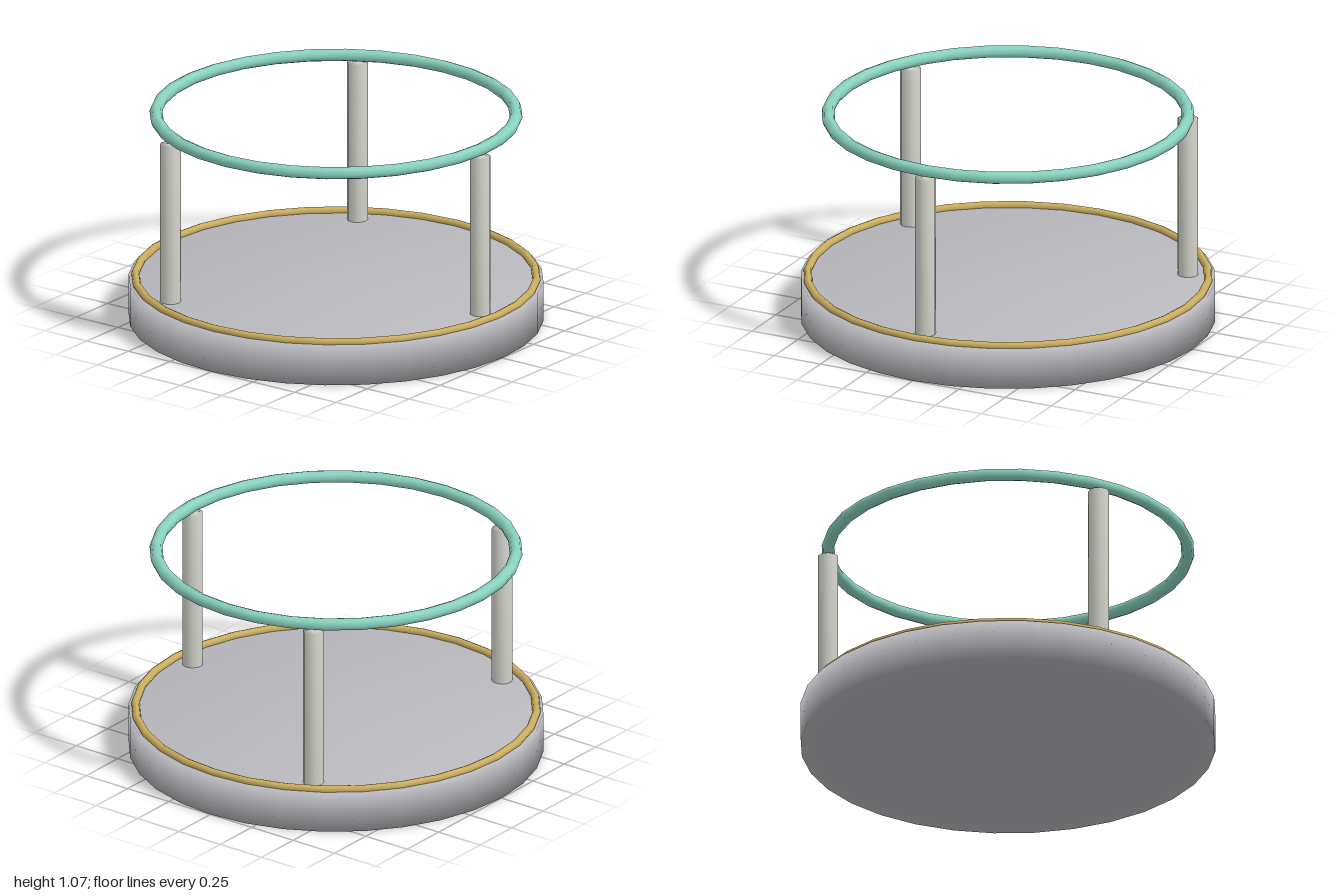
import * as THREE from 'three';

const material = (name, color) => {
  const m = new THREE.MeshStandardMaterial({ color });
  m.name = name;
  return m;
};

// Closed, softly shaded cylinder standing on y = 0
function softCylinder(radius, height, sides) {
  const profile = [[0, 0], [radius, 0], [radius, height], [0, height]];
  return new THREE.LatheGeometry(profile.map(([x, y]) => new THREE.Vector2(x, y)), sides);
}

// Horizontal ring
function ring(radius, tube) {
  return new THREE.TorusGeometry(radius, tube, 8, 32).rotateX(Math.PI / 2);
}

export function createModel() {
  const model = new THREE.Group();
  model.name = 'railedPlatform';

  const grey = material('platformGrey', 0xb9b8bd);
  const gold = material('trimGold', 0xcbae5e);
  const pale = material('postPale', 0xd6d6ce);
  const teal = material('railTeal', 0x8ad3c0);

  const add = (name, geometry, mat, y) => {
    const mesh = new THREE.Mesh(geometry, mat);
    mesh.name = name;
    mesh.position.y = y;
    model.add(mesh);
    return mesh;
  };

  // Round base with its trim ring
  add('base', softCylinder(1, 0.2, 32), grey, 0);
  add('trimRing', ring(0.967, 0.02), gold, 0.208);

  // Three posts evenly spaced, each turned to face outward
  const postGeometry = softCylinder(0.051, 0.8, 10).translate(0.867, 0, 0);
  for (let i = 0; i < 3; i++) {
    add('post' + (i + 1), postGeometry, pale, 0.2).rotation.y = (i * Math.PI * 2) / 3;
  }

  // Top rail
  add('topRail', ring(0.868, 0.031), teal, 1.035);

  return model;
}
